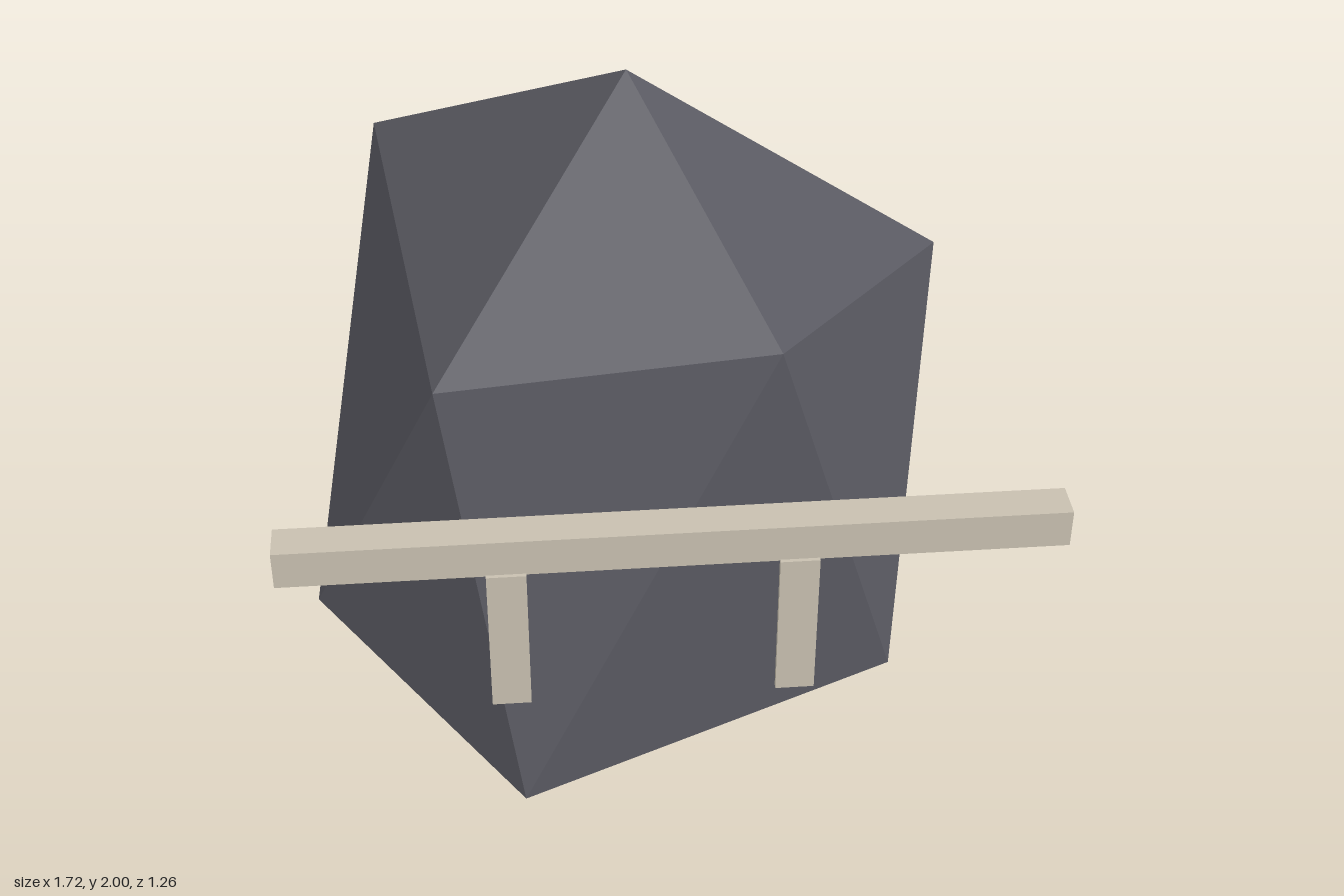
import * as THREE from 'three';

const rockGrey = new THREE.MeshStandardMaterial({ color: 0x5a5a62 });
rockGrey.name = 'rockGrey';
rockGrey.flatShading = true;
const paleWood = new THREE.MeshStandardMaterial({ color: 0xc8c0b0 });
paleWood.name = 'paleWood';

// Irregular twenty-sided rock: two points joined by an upper and a lower ring
function createRock() {
  const top = [-0.06, 2, 0.05];
  const bottom = [0.03, 0, -0.17];
  const upper = [
    [0.66, 1.47, -0.06], [0.235, 1.545, 0.48], [-0.505, 1.41, 0.37],
    [-0.63, 1.585, -0.535], [0.14, 1.355, -0.615],
  ];
  const lower = [
    [0.54, 0.545, 0.35], [-0.345, 0.385, 0.575], [-0.83, 0.575, 0.035],
    [-0.32, 0.455, -0.63], [0.68, 0.475, -0.355],
  ];
  const corners = [];
  for (let i = 0; i < 5; i++) {
    const j = (i + 1) % 5;
    corners.push(top, upper[j], upper[i]);
    corners.push(upper[i], upper[j], lower[i]);
    corners.push(lower[i], upper[j], lower[j]);
    corners.push(bottom, lower[i], lower[j]);
  }
  const geometry = new THREE.BufferGeometry();
  geometry.setAttribute('position', new THREE.Float32BufferAttribute(corners.flat(), 3));
  geometry.computeVertexNormals();
  const rock = new THREE.Mesh(geometry, rockGrey);
  rock.name = 'rock';
  return rock;
}

function box(name, size, position) {
  const mesh = new THREE.Mesh(new THREE.BoxGeometry(...size), paleWood);
  mesh.name = name;
  mesh.position.set(...position);
  return mesh;
}

export function createModel() {
  const model = new THREE.Group();
  model.name = 'rockWithCrossbar';
  model.add(createRock());

  // Crossbar in front of the rock, with two thin strips hanging from it
  model.add(box('crossbar', [1.72, 0.09, 0.087], [0, 1.147, 0.577]));
  for (const [name, x] of [['rightStrip', -0.367], ['leftStrip', 0.268]]) {
    model.add(box(name, [0.087, 0.365, 0.013], [x, 0.922, 0.623]));
  }
  return model;
}
